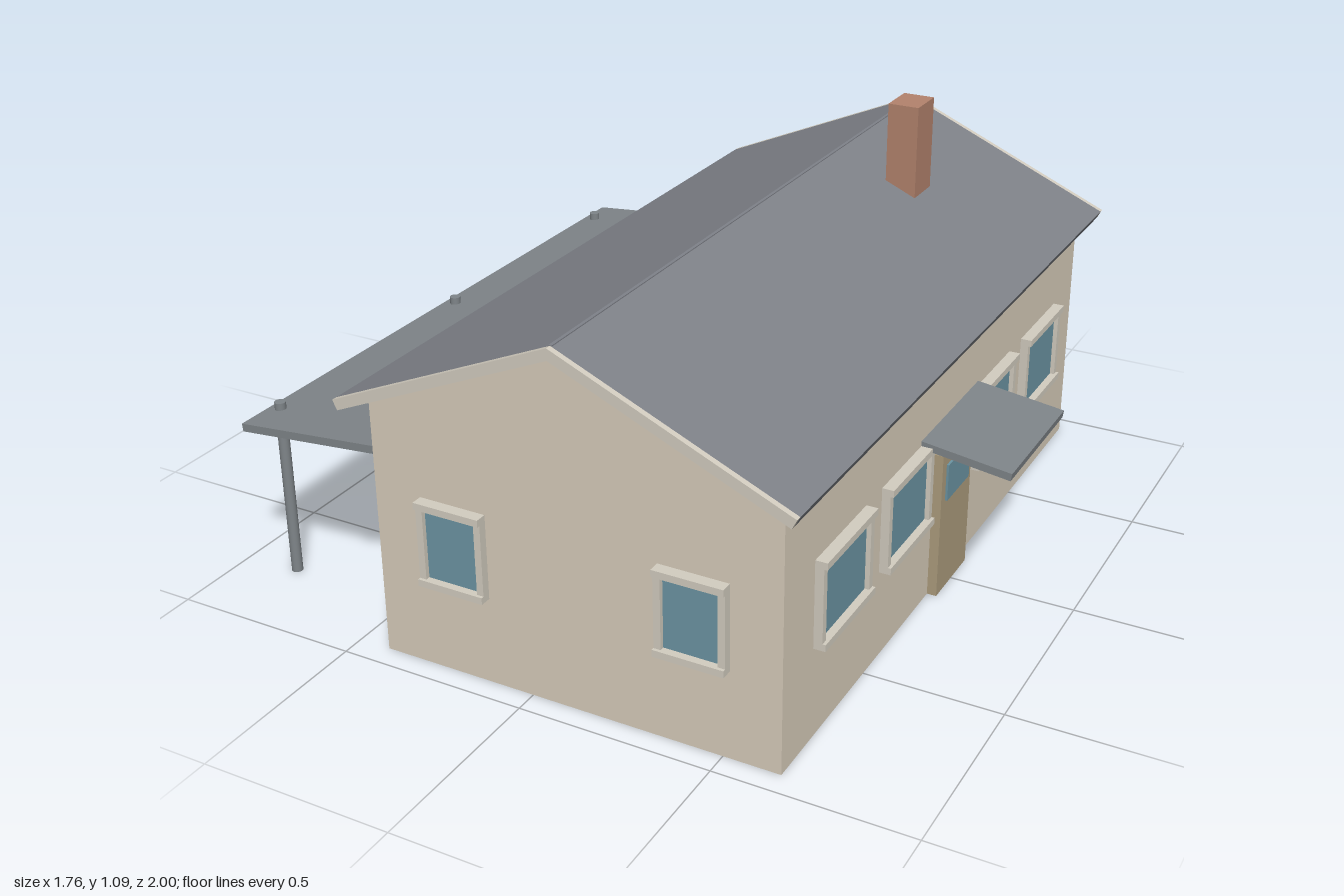
import * as THREE from 'three';

const mat = (color) => new THREE.MeshStandardMaterial({ color });

export function createModel() {
  const house = new THREE.Group();
  house.name = 'house';
  const cream = mat(0xd8cdbb), trim = mat(0xd3cdc0), slate = mat(0x7f8289), glass = mat(0x6c95a3);
  const tan = mat(0xad9d7e), brick = mat(0xb3836d), metal = mat(0x7f8589);
  const MID = 0.115, HALF = 0.53, DEPTH = 0.94;

  const add = (parent, name, geometry, material, x = 0, y = 0, z = 0) => {
    const mesh = new THREE.Mesh(geometry, material);
    mesh.name = name;
    mesh.position.set(x, y, z);
    parent.add(mesh);
    return mesh;
  };
  const box = (parent, name, material, w, h, d, x, y, z) =>
    add(parent, name, new THREE.BoxGeometry(w, h, d), material, x, y, z);
  // Outline in x and y, extruded from z0 to z1
  const prism = (name, points, z0, z1, material) => {
    const shape = new THREE.Shape(points.map(([x, y]) => new THREE.Vector2(x, y)));
    const geometry = new THREE.ExtrudeGeometry(shape, { depth: z1 - z0, bevelEnabled: false });
    return add(house, name, geometry, material, 0, 0, z0);
  };

  // Gabled body
  prism('walls', [
    [MID - HALF, 0], [MID + HALF, 0], [MID + HALF, 0.68], [MID, 0.911], [MID - HALF, 0.68],
  ], -DEPTH, DEPTH, cream);

  // Two roof slopes with pale boards on the gable ends
  for (const s of [-1, 1]) {
    const slope = [
      [MID, 0.94], [MID, 0.911], [MID + s * 0.573, 0.662], [MID + s * 0.585, 0.686],
    ];
    const side = s > 0 ? 'left' : 'right';
    prism(side + 'Roof', slope, -0.985, 0.985, slate);
    prism(side + 'FrontGableBoard', slope, 0.985, 1, trim);
    prism(side + 'BackGableBoard', slope, -1, -0.985, trim);
  }
  box(house, 'ridgeLine', slate, 0.008, 0.008, 1.97, MID, 0.937, 0);

  // Chimney
  box(house, 'chimney', brick, 0.085, 0.27, 0.107, 0.303, 0.955, -0.502);

  // Window on a wall facing local +z, with deeper head and sill
  const makeWindow = (w, h) => {
    const g = new THREE.Group();
    g.name = 'window';
    const t = 0.018;
    box(g, 'glass', glass, w - 2 * t, h - 2 * t, 0.012, 0, 0, 0.004);
    for (const s of [-1, 1]) {
      box(g, 'frameSide', trim, t, h - 2 * t, 0.022, s * (w - t) / 2, 0, 0.011);
      box(g, s > 0 ? 'frameHead' : 'frameSill', trim, w, t, 0.03, 0, s * (h - t) / 2, 0.015);
    }
    return g;
  };

  // Front gable windows
  for (const x of [-0.199, 0.428]) {
    const win = makeWindow(0.178, 0.222);
    win.position.set(x, 0.341, DEPTH);
    house.add(win);
  }

  // Matching long walls, each with four windows and a door
  for (const s of [-1, 1]) {
    const wall = new THREE.Group();
    wall.name = s > 0 ? 'leftWallOpenings' : 'rightWallOpenings';
    wall.position.x = MID + s * HALF;
    wall.rotation.y = s * Math.PI / 2;
    for (const u of [-0.652, -0.29, 0.29, 0.652]) {
      const win = makeWindow(0.272, 0.226);
      win.position.set(u, 0.352, 0);
      wall.add(win);
    }
    box(wall, 'door', tan, 0.2, 0.4, 0.025, 0, 0.2, 0.0125);
    box(wall, 'doorGlass', glass, 0.148, 0.1, 0.01, 0, 0.315, 0.026);
    house.add(wall);
  }

  // Sloping canopy over the door on the left
  prism('doorCanopy', [[0.645, 0.478], [0.645, 0.458], [0.874, 0.427], [0.877, 0.447]],
    -0.19, 0.19, metal);

  // Lean-to porch on the right with three posts
  prism('porchRoof', [[-0.415, 0.506], [-0.883, 0.464], [-0.881, 0.443], [-0.415, 0.485]],
    -0.86, 0.86, metal);
  for (const z of [-0.755, 0, 0.755]) {
    add(house, 'porchPost', new THREE.CylinderGeometry(0.0145, 0.0145, 0.487, 20), metal,
      -0.848, 0.2435, z);
  }
  return house;
}
